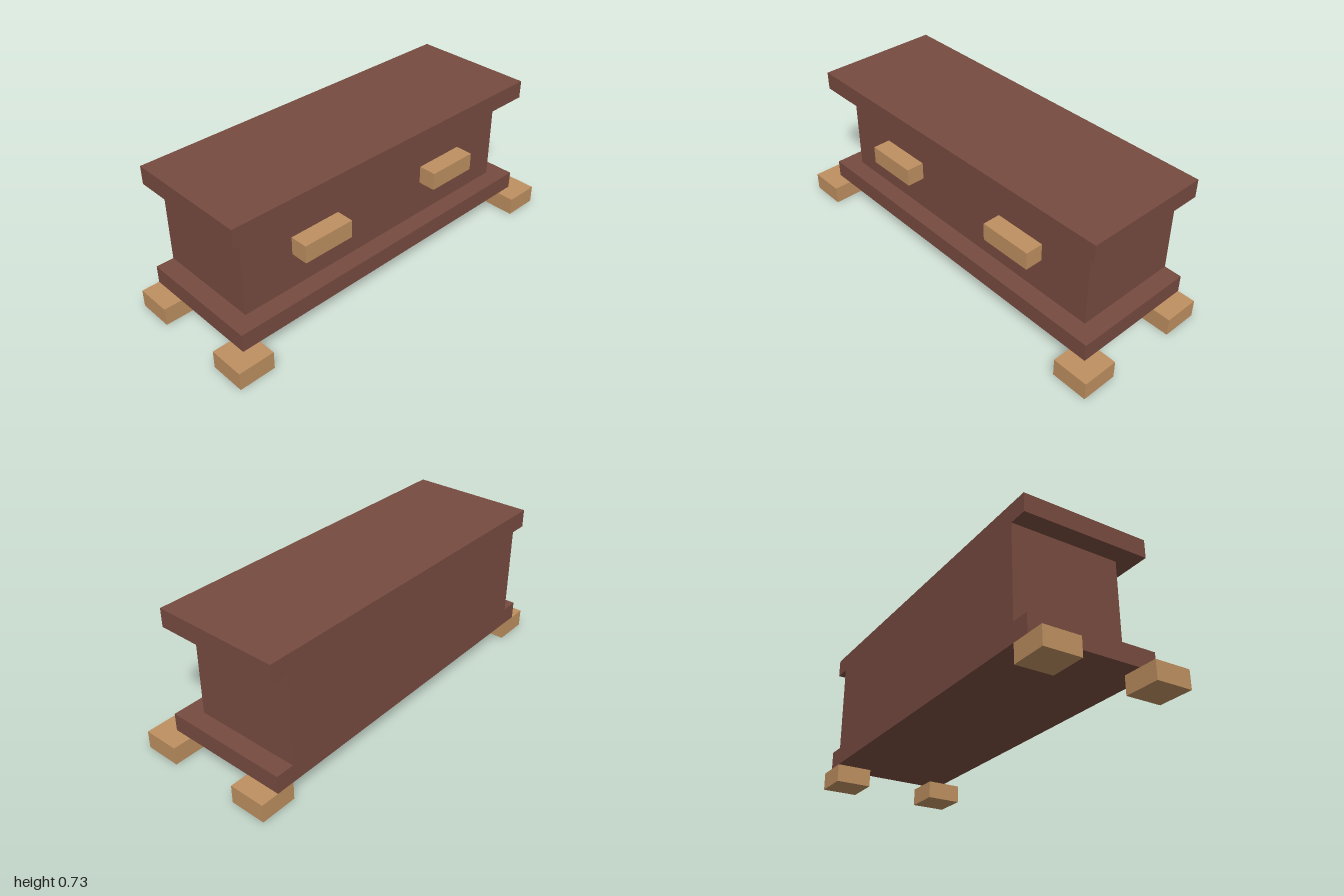
import * as THREE from 'three';

// Everything sits on a regular grid, 22 cells along the longest side
const U = 1 / 11;

export function createModel() {
  const model = new THREE.Group();
  model.name = 'chest';

  const darkWood = new THREE.MeshStandardMaterial({ color: 0x774b40 });
  darkWood.name = 'darkWood';
  const lightWood = new THREE.MeshStandardMaterial({ color: 0xbe9060 });
  lightWood.name = 'lightWood';

  // Box given by its ranges in grid cells
  function block(name, material, [x0, x1], [y0, y1], [z0, z1]) {
    const geometry = new THREE.BoxGeometry((x1 - x0) * U, (y1 - y0) * U, (z1 - z0) * U);
    const mesh = new THREE.Mesh(geometry, material);
    mesh.name = name;
    mesh.position.set((x0 + x1) / 2 * U, (y0 + y1) / 2 * U, (z0 + z1) / 2 * U);
    model.add(mesh);
  }

  // Carcass: flush at the back, base and top overhang the front and sides
  block('base', darkWood, [-10, 10], [1, 2], [-4, 3]);
  block('body', darkWood, [-9, 9], [2, 7], [-4, 2]);
  block('top', darkWood, [-10, 10], [7, 8], [-4, 3]);

  // Feet and handles, mirrored left and right
  for (const [side, s] of [['left', 1], ['right', -1]]) {
    const span = (a, b) => (s > 0 ? [a, b] : [-b, -a]);
    block(side + 'FrontFoot', lightWood, span(9, 11), [0, 1], [2, 4]);
    block(side + 'BackFoot', lightWood, span(9, 11), [0, 1], [-4, -2]);
    block(side + 'Handle', lightWood, span(3, 6), [4, 5], [2, 3]);
  }

  return model;
}
